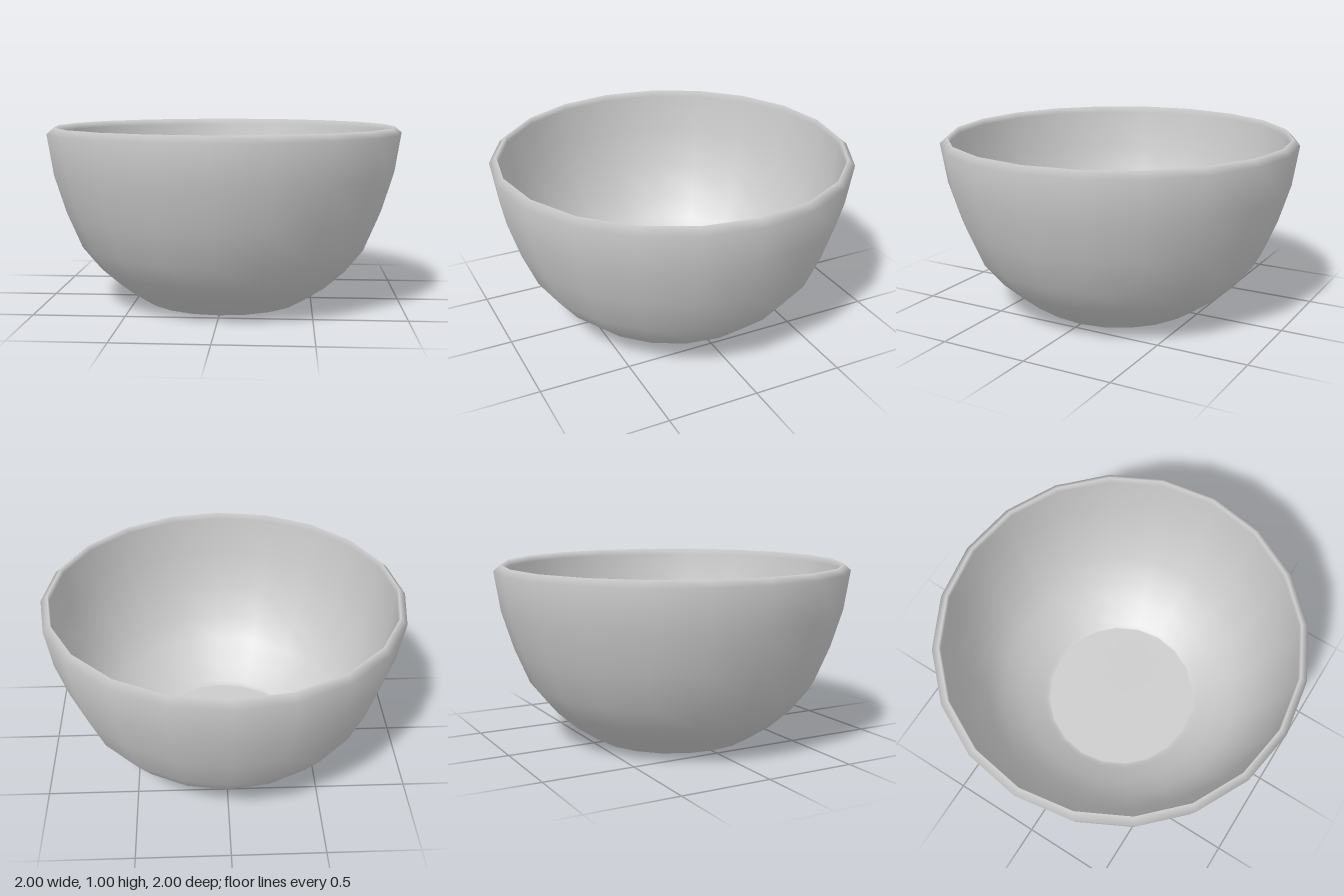
import * as THREE from 'three';

const SIDES = 20;

// Cross-section as [radius, height], from the centre of the underside,
// up the outside, over the rim and down to the centre of the inside floor
const PROFILE = [
  // flat foot with a softened edge
  [0, 0], [0.44, 0], [0.452, 0.002], [0.475, 0.015],
  // outside wall
  [0.597, 0.096], [0.712, 0.198], [0.816, 0.327], [0.9, 0.526], [0.965, 0.736],
  // bevelled rim
  [1, 0.96], [0.96, 0.996], [0.953, 0.96],
  // inside wall
  [0.93, 0.738], [0.872, 0.533], [0.796, 0.338], [0.699, 0.211], [0.589, 0.108],
  // softened edge and flat floor
  [0.477, 0.034], [0.455, 0.021], [0.443, 0.019], [0, 0.019],
];

export function createModel() {
  const points = PROFILE.map(([r, y]) => new THREE.Vector2(r, y));
  const shell = new THREE.Mesh(
    new THREE.LatheGeometry(points, SIDES),
    new THREE.MeshStandardMaterial({ color: 0xcccccc }),
  );
  shell.name = 'bowlShell';

  const bowl = new THREE.Group();
  bowl.name = 'bowl';
  bowl.add(shell);
  return bowl;
}
